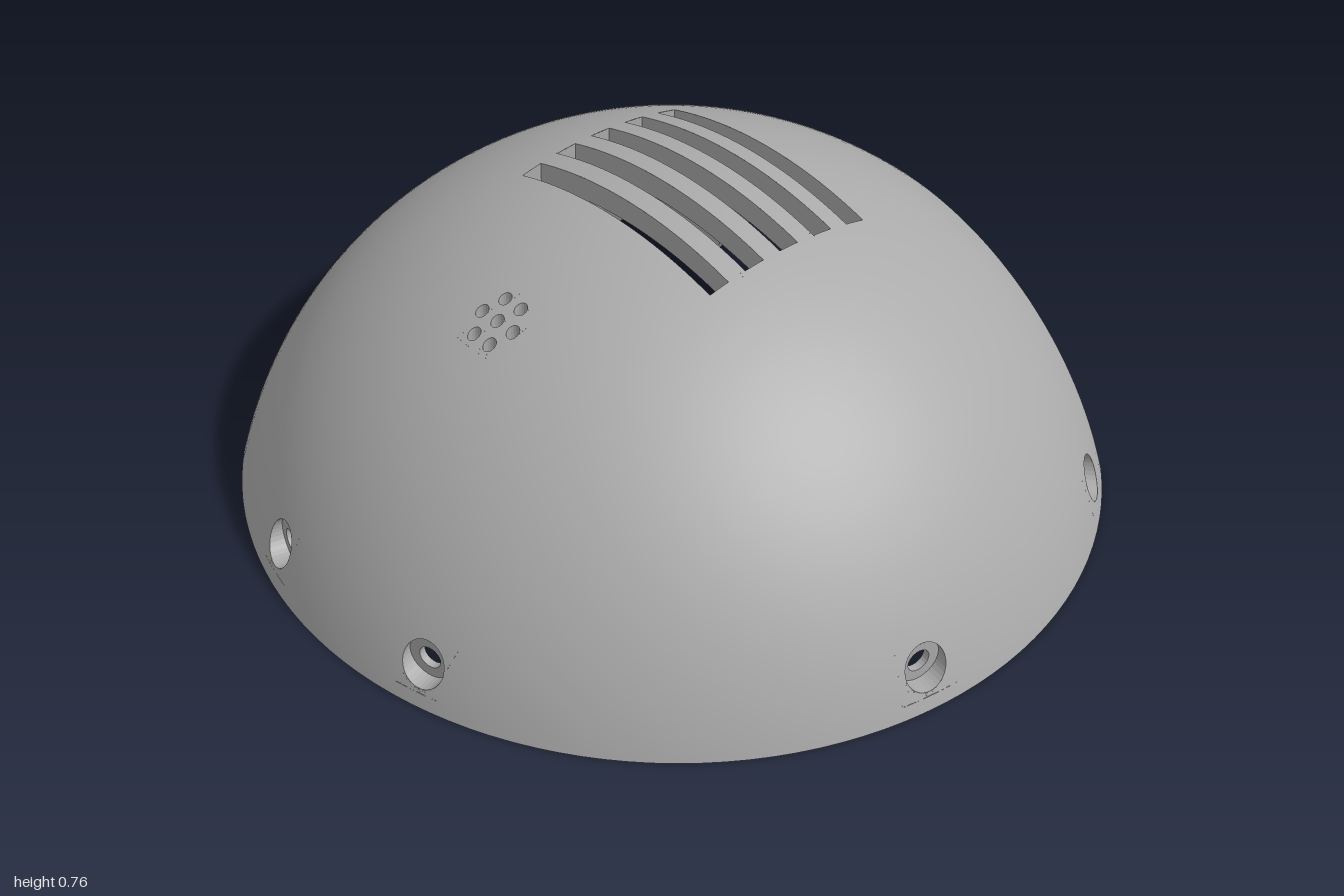
import * as THREE from 'three';

// Dome: two concentric spheres, centred below the base plane and cut flat at the back
const RO = 1.038, RI = 0.983, DROP = 0.278, ZC = -0.155;
const BACK = -0.845, FLANGE = -0.785, ARCH = 0.582;
const TAU = Math.PI * 2;

const heightAt = (R, x, z) => Math.sqrt(Math.max(0, R * R - x * x - (z - ZC) ** 2)) - DROP;
const onDome = (R, [x, z]) => [x, heightAt(R, x, z), z];
const circle = (cx, cy, r, n) => Array.from({ length: n }, (_, i) =>
  [cx + r * Math.cos(i / n * TAU), cy + r * Math.sin(i / n * TAU)]);
const line = (a, b, n) => Array.from({ length: n + 1 }, (_, i) => a.map((v, k) => v + (b[k] - v) * i / n));
const area = p => p.reduce((s, a, i) => {
  const b = p[(i + 1) % p.length];
  return s + (a[0] * b[1] - b[0] * a[1]) / 2;
}, 0);
const oriented = p => (area(p) < 0 ? p.slice().reverse() : p);

// Keep the part of a convex polygon on one side of the line a-b
function clip(poly, a, b, side) {
  const dist = p => side * ((b[0] - a[0]) * (p[1] - a[1]) - (b[1] - a[1]) * (p[0] - a[0]));
  const out = [];
  poly.forEach((p, i) => {
    const q = poly[(i + 1) % poly.length], dp = dist(p), dq = dist(q);
    if (dp >= 0) out.push(p);
    if ((dp > 0 && dq < 0) || (dp < 0 && dq > 0)) {
      const t = dp / (dp - dq);
      out.push([p[0] + (q[0] - p[0]) * t, p[1] + (q[1] - p[1]) * t]);
    }
  });
  return out.length > 2 && Math.abs(area(out)) > 1e-9 ? out : [];
}

// Convex polygon minus a convex hole, as convex pieces
function subtract(poly, hole) {
  const pieces = [];
  let rest = poly;
  for (let i = 0; i < hole.length; i++) {
    const a = hole[i], b = hole[(i + 1) % hole.length];
    const outside = clip(rest, a, b, -1);
    if (outside.length) pieces.push(outside);
    rest = clip(rest, a, b, 1);
    if (!rest.length) return [poly];
  }
  return pieces;
}

function geometryFrom(pos, normals) {
  const g = new THREE.BufferGeometry();
  g.setAttribute('position', new THREE.Float32BufferAttribute(pos, 3));
  if (normals) g.setAttribute('normal', new THREE.Float32BufferAttribute(normals, 3));
  else g.computeVertexNormals();
  return g;
}

// Spherical skin cut by holes given in plan (x, z); sign +1 faces out, -1 faces in
function skin(R, backZ, holes, sign) {
  const RINGS = 40, SEGS = 128, pos = [], nor = [];
  const top = Math.acos(DROP / R);
  const at = (i, j) => {
    const r = R * Math.sin(top * i / RINGS), a = j / SEGS * TAU;
    return [r * Math.sin(a), ZC + r * Math.cos(a)];
  };
  const cutters = holes.map(h => {
    const p = oriented(h), xs = p.map(v => v[0]), zs = p.map(v => v[1]);
    return { p, x0: Math.min(...xs), x1: Math.max(...xs), z0: Math.min(...zs), z1: Math.max(...zs) };
  });
  for (let i = 0; i < RINGS; i++) for (let j = 0; j < SEGS; j++) {
    const cell = [at(i, j), at(i + 1, j), at(i + 1, j + 1)];
    if (i) cell.push(at(i, j + 1));
    let pieces = [clip(oriented(cell), [-1, backZ], [1, backZ], 1)];
    for (const c of cutters) {
      pieces = pieces.flatMap(p => {
        const apart = !p.length || p.every(v => v[0] < c.x0) || p.every(v => v[0] > c.x1) ||
          p.every(v => v[1] < c.z0) || p.every(v => v[1] > c.z1);
        return apart ? [p] : subtract(p, c.p);
      });
    }
    for (const p of pieces) for (let k = 1; k < p.length - 1; k++) {
      for (const v of sign > 0 ? [p[0], p[k + 1], p[k]] : [p[0], p[k], p[k + 1]]) {
        const [x, y, z] = onDome(R, v);
        pos.push(x, y, z);
        nor.push(sign * x / R, sign * (y + DROP) / R, sign * (z - ZC) / R);
      }
    }
  }
  return geometryFrom(pos, nor);
}

// Wall joining two matching rows of points
function ribbon(a, b, closed = false) {
  const pos = [];
  for (let i = 0; i < a.length - (closed ? 0 : 1); i++) {
    const j = (i + 1) % a.length;
    pos.push(...a[i], ...a[j], ...b[j], ...a[i], ...b[j], ...b[i]);
  }
  return geometryFrom(pos);
}

// Flat plate from a 2D outline with holes, placed in space by a rule
function plate(outline, holes, place) {
  const vec = l => l.map(p => new THREE.Vector2(...p));
  const shape = new THREE.Shape(vec(outline));
  holes.forEach(h => shape.holes.push(new THREE.Path(vec(h))));
  const g = new THREE.ShapeGeometry(shape).toNonIndexed(), p = g.attributes.position;
  for (let i = 0; i < p.count; i++) p.setXYZ(i, ...place(p.getX(i), p.getY(i)));
  g.computeVertexNormals();
  return g;
}

export function createModel() {
  const model = new THREE.Group();
  const grey = new THREE.MeshStandardMaterial({ color: 0xaaaaaa, side: THREE.DoubleSide });
  grey.name = 'grey';
  const add = (name, geometry, parent = model) => {
    const m = new THREE.Mesh(geometry, grey);
    m.name = name;
    parent.add(m);
  };

  // Vertical cuts: five slots on the crown and a cluster of seven round vents
  const vertical = [];
  for (let i = 0; i < 5; i++) {
    const z0 = -0.028 - i * 0.1015, z1 = z0 + 0.053;
    vertical.push([...line([-0.3, z0], [0.3, z0], 24), ...line([0.3, z1], [-0.3, z1], 24)]);
  }
  const ventCentres = [[0, 0.35], ...circle(0, 0.35, 0.05, 6)];
  ventCentres.forEach(c => vertical.push(circle(c[0], c[1], 0.0145, 16)));
  vertical.forEach((h, i) => add(i < 5 ? 'slotWall' : 'ventWall',
    ribbon(h.map(p => onDome(RO, p)), h.map(p => onDome(RI, p)), true)));

  // Screw holes: counterbore outside, flat-backed pocket inside
  const outerHoles = [...vertical], innerHoles = [...vertical];
  const HY = 0.095, FLOOR = 0.943, FACE = 0.925, TOP = 0.88, HALF = 0.09;
  for (const side of [-1, 1]) for (const deg of [15, 80, 125]) {
    const a = side * deg * Math.PI / 180, s = Math.sin(a), c = Math.cos(a);
    const plan = (u, d) => [d * s + u * c, ZC + d * c - u * s];
    const place = d => (u, y) => { const [x, z] = plan(u, d); return [x, y, z]; };
    const screw = new THREE.Group();
    screw.name = 'screwHole';
    model.add(screw);

    const bore = circle(0, HY, 0.052, 32), hole = circle(0, HY, 0.027, 24);
    const rim = bore.map(([u, y]) => plan(u, Math.sqrt(RO * RO - (y + DROP) ** 2 - u * u)));
    outerHoles.push(rim);
    add('counterboreWall', ribbon(rim.map(p => onDome(RO, p)), bore.map(p => place(FLOOR)(...p)), true), screw);
    add('counterboreFloor', plate(bore, [hole], place(FLOOR)), screw);
    add('screwBore', ribbon(hole.map(p => place(FLOOR)(...p)), hole.map(p => place(FACE)(...p)), true), screw);

    innerHoles.push([plan(-HALF, TOP), plan(HALF, TOP), plan(HALF, FACE), plan(-HALF, FACE)]);
    const yAt = (u, d) => heightAt(RI, ...plan(u, d));
    const us = line([-HALF], [HALF], 8).map(v => v[0]);
    const face = [...us.map(u => [u, yAt(u, FACE)]), ...us.slice().reverse().map(u => [u, yAt(u, TOP)])];
    add('pocketFace', plate(face, [hole], place(FACE)), screw);
    add('pocketTop', ribbon(us.map(u => place(TOP)(u, yAt(u, TOP))), us.map(u => place(FACE)(u, yAt(u, TOP)))), screw);
    for (const u of [-HALF, HALF]) {
      const ds = line([TOP], [FACE], 4).map(v => v[0]);
      add('pocketSide', ribbon(ds.map(d => place(d)(u, yAt(u, d))), ds.map(d => place(d)(u, yAt(u, TOP)))), screw);
    }
  }
  add('outerDome', skin(RO, BACK, outerHoles, 1));
  add('innerDome', skin(RI, FLANGE, innerHoles, -1));

  // Bottom rim, including the feet of the back flange
  const baseArc = (R, z) => {
    const r = Math.sqrt(R * R - DROP * DROP), end = Math.acos((z - ZC) / r);
    return line([-end], [end], 110).map(([t]) => [r * Math.sin(t), ZC + r * Math.cos(t)]);
  };
  const foot = Math.sqrt(ARCH * ARCH - DROP * DROP);
  add('bottomRim', plate([
    ...baseArc(RO, BACK), [foot, BACK], [foot, FLANGE],
    ...baseArc(RI, FLANGE).reverse(), [-foot, FLANGE], [-foot, BACK],
  ], [], (x, z) => [x, 0, z]));

  // Back flange: arched ring with a concentric opening
  const arch = r => {
    const end = Math.acos(DROP / r);
    return line([-end], [end], 64).map(([t]) => [r * Math.sin(t), r * Math.cos(t) - DROP]);
  };
  const opening = arch(ARCH);
  for (const [name, R, z] of [['flangeBack', RO, BACK], ['flangeInside', RI, FLANGE]]) {
    const outer = arch(Math.sqrt(R * R - (z - ZC) ** 2));
    add(name, plate([...outer, ...opening.slice().reverse()], [], (x, y) => [x, y, z]));
  }
  add('flangeOpening', ribbon(opening.map(p => [...p, BACK]), opening.map(p => [...p, FLANGE])));
  return model;
}
